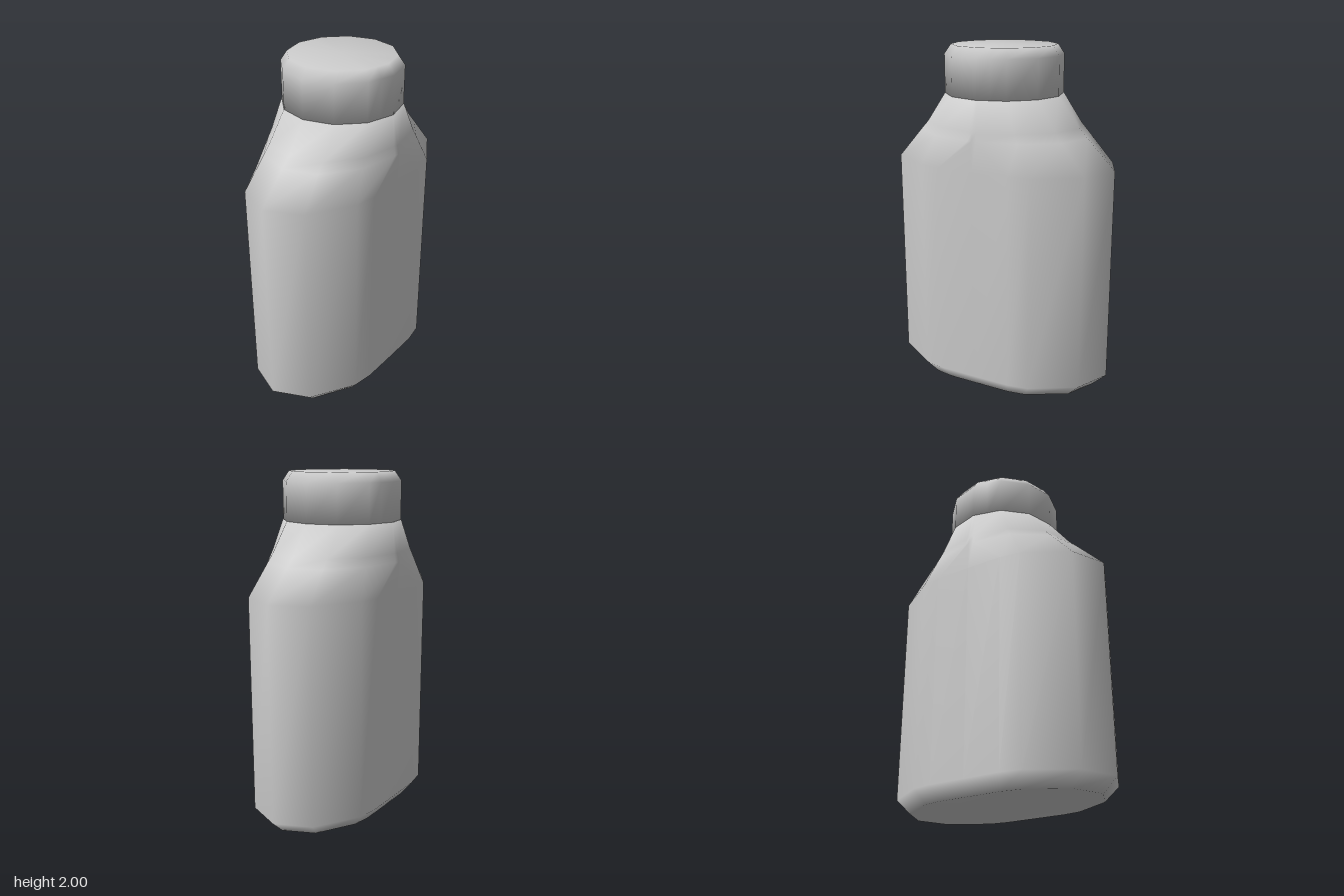
import * as THREE from 'three';

// Twelve-sided oval section whose front and back apex is cut flat at z = clip
function ovalSection(rx, rz, cut, clip) {
  const points = [];
  const apexAt = (k) => k === 3 || k === 9;
  const corner = (k) => {
    const a = (k * Math.PI) / 6;
    return new THREE.Vector2(rx * Math.cos(a), rz * Math.sin(a));
  };
  for (let k = 0; k < 12; k++) {
    const p = corner(k);
    if (apexAt(k)) {
      points.push(corner(k - 1).lerp(p, cut), p, corner(k + 1).lerp(p, cut));
    } else points.push(p);
  }
  for (const p of points) p.y = THREE.MathUtils.clamp(p.y, -clip, clip);
  return points;
}

// Smooth closed skin through rings of { y, points }, listed from bottom to top
function loft(rings) {
  const n = rings[0].points.length;
  const last = rings.length - 1;
  const positions = [];
  const index = [];
  for (const { y, points } of rings) {
    for (const p of points) positions.push(p.x, y, p.y);
  }
  positions.push(0, rings[0].y, 0, 0, rings[last].y, 0);
  const bottom = n * rings.length;
  for (let i = 0; i < n; i++) {
    const j = (i + 1) % n;
    for (let r = 0; r < last; r++) {
      const lo = r * n;
      const hi = lo + n;
      index.push(lo + i, hi + i, lo + j, lo + j, hi + i, hi + j);
    }
    index.push(bottom, i, j, bottom + 1, last * n + j, last * n + i);
  }
  const geometry = new THREE.BufferGeometry();
  geometry.setAttribute('position', new THREE.Float32BufferAttribute(positions, 3));
  geometry.setIndex(index);
  geometry.computeVertexNormals();
  return geometry;
}

export function createModel() {
  const group = new THREE.Group();
  group.name = 'bottle';
  const material = new THREE.MeshStandardMaterial({ color: 0xcccccc });
  const add = (name, rings) => {
    const mesh = new THREE.Mesh(loft(rings), material);
    mesh.name = name;
    group.add(mesh);
  };

  // Body: chamfered base, straight walls, shoulders tapering to a round neck
  const bodyRings = [
    // y, x radius, z radius, cut position, z limit
    [0, 0.605, 0.355, 0.36, 0.325],
    [0.08, 0.69, 0.42, 0.36, 0.385],
    [1.335, 0.69, 0.42, 0.36, 0.385],
    [1.506, 0.522, 0.385, 0.9, 0.385],
    [1.555, 0.472, 0.375, 0.9, 0.385],
    [1.725, 0.342, 0.345, 0.9, 0.385],
  ];
  add('body', bodyRings.map(([y, rx, rz, cut, clip]) => (
    { y, points: ovalSection(rx, rz, cut, clip) })));

  // Cap: short twelve-sided cylinder with a chamfered top
  const capRings = [[1.72, 0.342], [1.945, 0.342], [2, 0.304]];
  add('cap', capRings.map(([y, r]) => ({ y, points: ovalSection(r, r, 0.5, r) })));

  return group;
}
